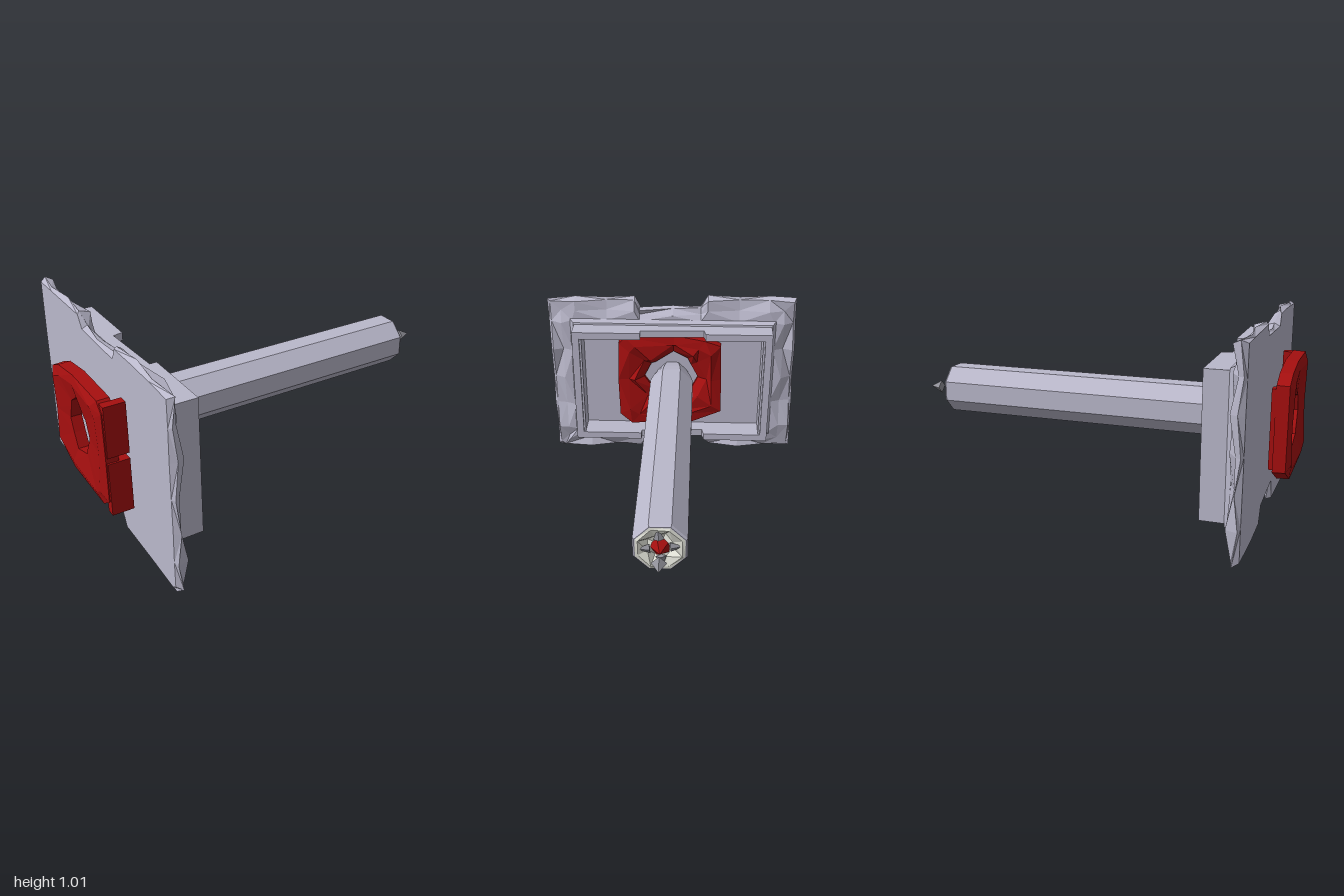
import * as THREE from 'three';

const mat = (name, color, extra = {}) =>
  Object.assign(new THREE.MeshStandardMaterial({ color, flatShading: true, ...extra }), { name });

// Joins equal-length loops of [x, y, z] points, counter-clockwise seen from +x, with flat facets.
function loft(loops, closed = false) {
  const pos = [];
  const last = closed ? loops.length : loops.length - 1;
  for (let k = 0; k < last; k++) {
    const a = loops[k], b = loops[(k + 1) % loops.length], n = a.length;
    for (let i = 0; i < n; i++) {
      const j = (i + 1) % n;
      if (i % 2) pos.push(...a[i], ...a[j], ...b[j], ...a[i], ...b[j], ...b[i]);
      else pos.push(...a[i], ...a[j], ...b[i], ...a[j], ...b[j], ...b[i]);
    }
  }
  const g = new THREE.BufferGeometry();
  g.setAttribute('position', new THREE.Float32BufferAttribute(pos, 3));
  g.computeVertexNormals();
  return g;
}

// Places a [z, y] outline at depth x, scaled about a centre; x may vary per point.
const at = (pts, x, s = 1, cz = 0, cy = 0.52) =>
  pts.map(([z, y], i) => [typeof x === 'function' ? x(i) : x, cy + (y - cy) * s, cz + (z - cz) * s]);

const octagon = (r, cy = 0.53, twist = Math.PI / 8) => Array.from({ length: 8 }, (_, i) => {
  const t = twist + i * Math.PI / 4;
  return [-r * Math.cos(t), cy + r * Math.sin(t)];
});

const rect = (w, y0, y1) => [[-w, y1], [w, y1], [w, y0], [-w, y0]];

export function createModel() {
  const group = new THREE.Group();
  const stone = mat('pale lavender', 0xbab8cb);
  const red = mat('deep red', 0xa50f0f);
  const white = mat('off white', 0xdfe0d6);
  const grey = mat('mid grey', 0x909098);
  const add = (name, geometry, material, parent = group) => {
    const m = new THREE.Mesh(geometry, material);
    m.name = name;
    parent.add(m);
    return m;
  };

  // Chipped back plate with notches in the middle of its top and bottom edges
  const edge = [
    [-0.70, 1.01], [-0.55, 1.01], [-0.38, 1.01], [-0.20, 1.01], [-0.16, 0.95], [0, 0.945],
    [0.19, 0.94], [0.22, 1.0], [0.38, 1.0], [0.56, 0.995], [0.72, 0.985],
    [0.72, 0.85], [0.715, 0.68], [0.715, 0.5], [0.715, 0.32], [0.71, 0.16], [0.71, 0.02], [0.68, 0.0],
    [0.5, 0.01], [0.35, 0.015], [0.19, 0.02], [0.14, 0.13], [-0.17, 0.11], [-0.22, 0.03],
    [-0.4, 0.025], [-0.56, 0.03], [-0.72, 0.04], [-0.72, 0.2], [-0.715, 0.36], [-0.71, 0.52],
    [-0.71, 0.7], [-0.705, 0.86],
  ];
  const clampTo = ([z, y], f) => [
    THREE.MathUtils.lerp(z, THREE.MathUtils.clamp(z, -0.58, 0.58), f),
    THREE.MathUtils.lerp(y, THREE.MathUtils.clamp(y, 0.15, 0.87), f),
  ];
  add('backPlate', loft([
    at(edge, -0.86, 0),
    at(edge, -0.86, 0.97),
    at(edge, i => (i % 2 ? -0.85 : -0.83)),
    at(edge.map(p => clampTo(p, 0.12)), i => (i % 3 ? -0.825 : -0.795)),
    at(edge.map(p => clampTo(p, 0.55)), i => (i % 2 ? -0.79 : -0.815)),
    at(edge.map(p => clampTo(p, 1)), -0.79),
    at(edge, -0.79, 0),
  ]), stone);

  // Raised frame: flared foot, side walls, and notched top and bottom walls
  const frame = new THREE.Group();
  frame.name = 'frame';
  group.add(frame);
  add('frameFoot', loft([
    at(rect(0.59, 0.14, 0.88), -0.79),
    at(rect(0.57, 0.16, 0.865), -0.765),
    at(rect(0.55, 0.18, 0.845), -0.76),
    at(rect(0.53, 0.2, 0.825), -0.785),
  ]), stone, frame);
  for (const s of [1, -1]) {
    const side = add('frameSideWall', new THREE.BoxGeometry(0.14, 0.685, 0.04), stone, frame);
    side.position.set(-0.72, 0.5125, s * 0.545);
    const lip = add('innerLip', new THREE.BoxGeometry(0.125, 0.61, 0.012), stone, frame);
    lip.position.set(-0.7275, 0.5125, s * 0.52);
  }
  const wall = new THREE.Shape([
    [-0.79, -0.53], [-0.65, -0.53], [-0.65, -0.19], [-0.7, -0.18],
    [-0.685, 0.18], [-0.65, 0.18], [-0.65, 0.53], [-0.79, 0.53],
  ].map(p => new THREE.Vector2(...p)));
  for (const y of [0.855, 0.21]) {
    const g = new THREE.ExtrudeGeometry(wall, { depth: 0.04, bevelEnabled: false });
    g.rotateX(Math.PI / 2);
    const m = add('frameLongWall', g, stone, frame);
    m.position.y = y;
  }

  // Faceted red ring lying in the recess
  const block = [
    [-0.28, 0.74], [-0.19, 0.78], [-0.01, 0.805], [0.27, 0.80], [0.31, 0.75],
    [0.315, 0.53], [0.31, 0.29], [0.24, 0.24], [-0.12, 0.245], [-0.29, 0.33], [-0.285, 0.53],
  ];
  const hole = (rz, ry) => block.map(([z, y], i) => {
    const t = Math.atan2(y - 0.53, z), k = 1 + (i % 3 - 1) * 0.1;
    return [rz * k * Math.cos(t), 0.53 + ry * k * Math.sin(t)];
  });
  add('recessRing', loft([
    at(block, -0.79),
    at(block, i => -0.74 + (i % 2) * 0.02),
    at(block, i => -0.705 - (i % 3) * 0.012, 0.8, 0, 0.53),
    at(hole(0.2, 0.2), i => -0.74 + (i % 2) * 0.03),
    at(hole(0.15, 0.15), -0.77),
    at(hole(0.15, 0.15), -0.79),
  ]), red);

  // Red bracket behind the plate, with a split flange on its left side
  add('rearBracket', loft([
    at(block, -0.98, 0.98),
    at(block, -0.92, 0.99),
    at(hole(0.11, 0.14), -0.92),
    at(hole(0.11, 0.14), -0.975),
    at(block, i => -1 + (i % 3) * 0.005, 0.82, 0, 0.53),
  ], true), red);
  for (const [y0, y1] of [[0.23, 0.50], [0.53, 0.785]]) {
    const m = add('bracketFlange', new THREE.BoxGeometry(0.105, y1 - y0, 0.045), red);
    m.position.set(-0.9225, (y0 + y1) / 2, 0.297);
  }
  const heel = add('bracketHeel', new THREE.BoxGeometry(0.06, 0.38, 0.05), red);
  heel.position.set(-0.93, 0.53, -0.25);

  // Eight-sided pole with a tapered root and a hollow end
  add('pole', loft([
    at(octagon(0.09), -0.79),
    at(octagon(0.115), -0.7),
    at(octagon(0.13), -0.62),
    at(octagon(0.13), 0.84),
    at(octagon(0.122), 0.85),
    at(octagon(0.118), 0.85),
  ]), stone);

  // White crown around the pole end, with grey shards and a red core
  add('endCrown', loft([
    at(octagon(0.122), 0.848),
    at(octagon(0.105), i => 0.85 + (i % 2) * 0.006),
    at(octagon(0.06), i => 0.835 - (i % 2) * 0.02),
    at(octagon(0), 0.82),
  ]), white);
  for (let i = 0; i < 4; i++) {
    const pivot = new THREE.Group();
    pivot.name = 'shard';
    pivot.position.set(0.845, 0.53, 0);
    pivot.rotation.x = i * Math.PI / 2 + 0.1;
    group.add(pivot);
    const m = add('endShard', new THREE.ConeGeometry(0.025, 0.06, 4), grey, pivot);
    m.position.y = 0.075;
    m.scale.x = 0.5;
  }
  const core = add('redCore', new THREE.ConeGeometry(0.05, 0.06, 5), red);
  core.rotation.z = -Math.PI / 2;
  core.position.set(0.85, 0.52, 0);

  // Small floating tip
  const tip = add('tip', new THREE.ConeGeometry(0.034, 0.064, 4), grey);
  tip.rotation.z = -Math.PI / 2;
  tip.position.set(0.968, 0.52, 0);

  return group;
}
